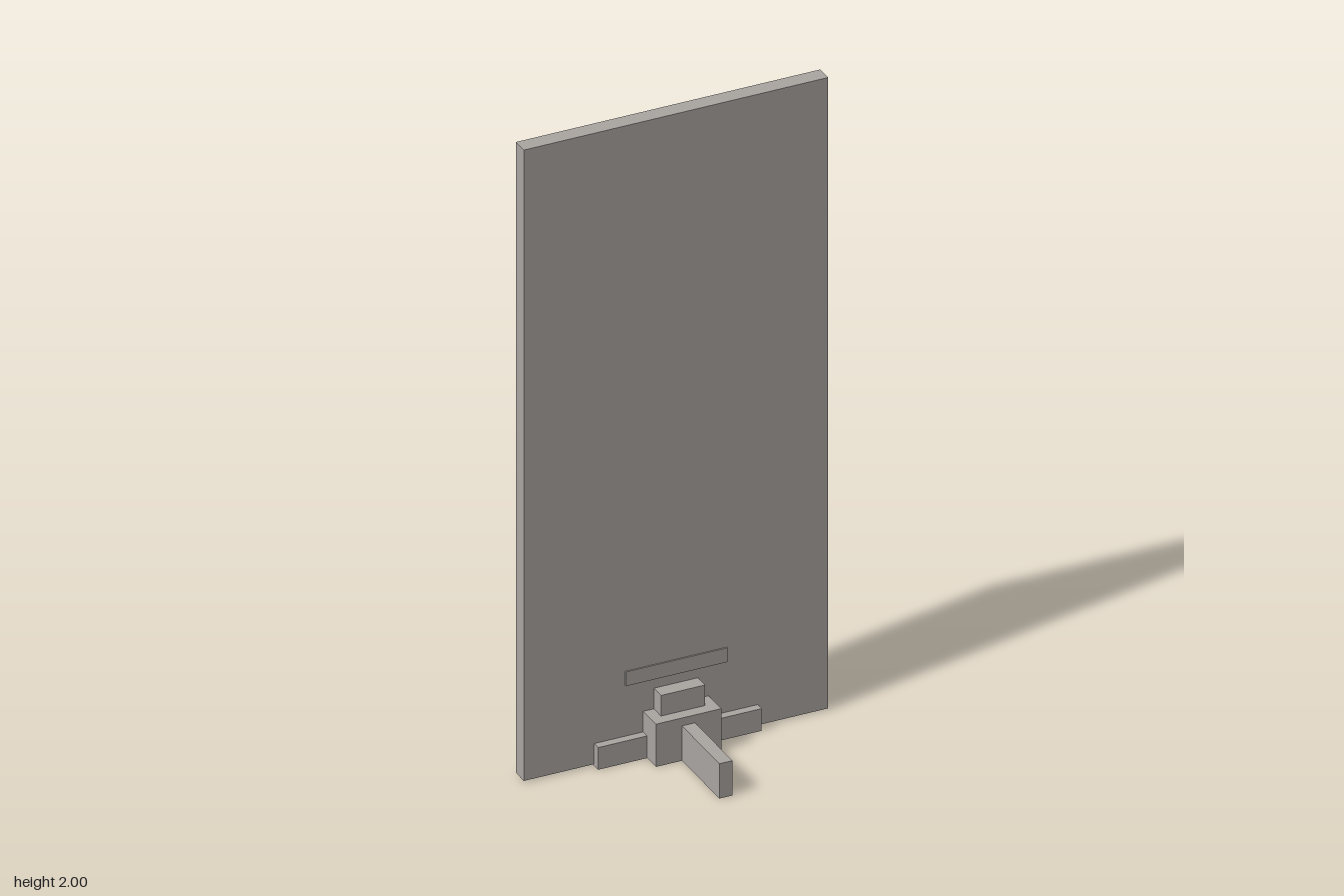
import * as THREE from 'three';

export function createModel() {
  const model = new THREE.Group();
  const warmGrey = new THREE.MeshStandardMaterial({ color: 0xaaa6a2 });
  warmGrey.name = 'warmGrey';

  // Box centred on x and z, standing on the given base height
  const addBlock = (name, width, height, depth, base) => {
    const mesh = new THREE.Mesh(new THREE.BoxGeometry(width, height, depth), warmGrey);
    mesh.name = name;
    mesh.position.y = base + height / 2;
    model.add(mesh);
  };

  // Tall flat panel
  addBlock('panel', 0.93, 1.995, 0.05, 0.005);

  // Crossed feet: long one front to back, short one side to side
  addBlock('longFoot', 0.04, 0.11, 0.68, 0);
  addBlock('crossFoot', 0.5, 0.07, 0.1, 0);

  // Stepped hub gripping the panel
  addBlock('hub', 0.2, 0.135, 0.21, 0);
  addBlock('hubCap', 0.135, 0.065, 0.14, 0.135);

  // Thin strip showing on both faces of the panel
  addBlock('strip', 0.31, 0.045, 0.058, 0.23);

  return model;
}
